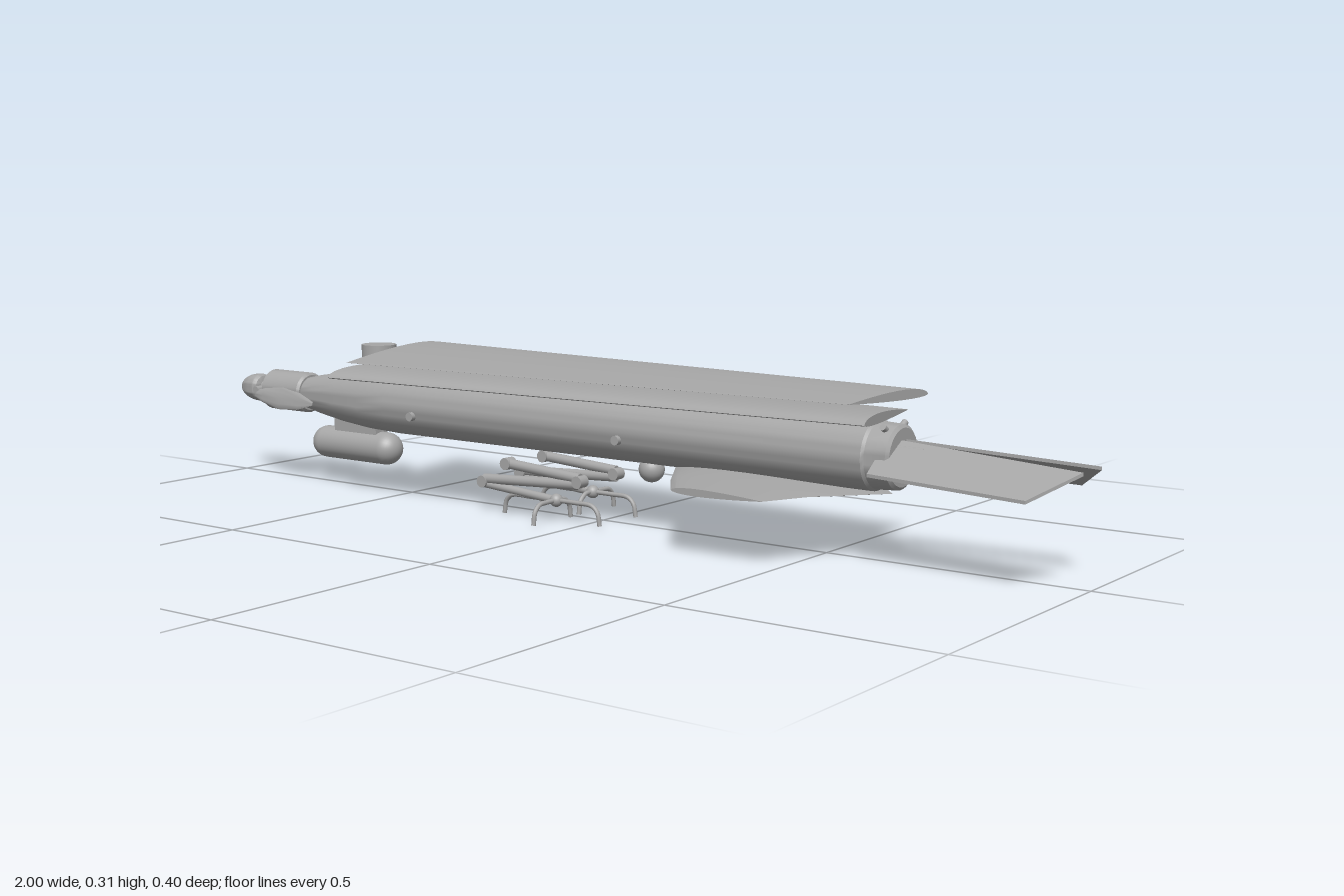
import * as THREE from 'three';
import { toCreasedNormals } from 'three/addons/utils/BufferGeometryUtils.js';

const V = (x, y, z) => new THREE.Vector3(x, y, z);
const AXIS_Y = 0.187;

// Skin closed cross-sections, cap both ends, and keep the faces outward
function loft(sections) {
  const n = sections[0].length, pts = sections.flat(), tris = [];
  for (let s = 0; s < sections.length - 1; s++)
    for (let i = 0; i < n; i++) {
      const a = s * n + i, b = s * n + (i + 1) % n;
      tris.push([a, b, b + n], [a, b + n, a + n]);
    }
  const last = (sections.length - 1) * n;
  for (let i = 1; i < n - 1; i++) tris.push([0, i + 1, i], [last, last + i, last + i + 1]);
  let volume = 0;
  for (const [a, b, c] of tris) volume += pts[a].dot(pts[b].clone().cross(pts[c]));
  const index = tris.flatMap(([a, b, c]) => (volume < 0 ? [a, c, b] : [a, b, c]));
  const g = new THREE.BufferGeometry().setFromPoints(pts);
  g.setIndex(index);
  return toCreasedNormals(g, 0.6);
}

// Airfoil loop from leading edge to trailing edge with given rise and drop
function airfoil(lead, trail, up, down) {
  const n = 14, loop = [];
  const f = u => 2.0 * (1.4845 * Math.sqrt(u) - 0.63 * u - 1.758 * u * u + 1.4215 * u ** 3 - 0.508 * u ** 4);
  for (let k = 0; k < 2 * n; k++) {
    const u = (1 - Math.cos(Math.PI * k / n)) / 2;
    const p = lead.clone().lerp(trail, u);
    p.y += (k <= n ? up : -down) * f(u);
    loop.push(p);
  }
  return loop;
}

export function createModel() {
  const model = new THREE.Group();
  const grey = new THREE.MeshStandardMaterial({ color: 0xa6a6a6 });
  grey.name = 'plain grey';

  function add(name, geometry, x = 0, y = 0, z = 0, parent = model) {
    const mesh = new THREE.Mesh(geometry, grey);
    mesh.name = name;
    mesh.position.set(x, y, z);
    parent.add(mesh);
    return mesh;
  }
  // Body of revolution along x; profile entries are [x, radius] from nose to tail
  function turned(name, profile, y, crease = 0.5) {
    const g = new THREE.LatheGeometry(profile.map(([x, r]) => new THREE.Vector2(r, x)), 40);
    g.rotateZ(-Math.PI / 2);
    return add(name, toCreasedNormals(g, crease), 0, y, 0);
  }
  // Round rod between two points
  function rod(name, a, b, r, parent = model) {
    const m = add(name, new THREE.CylinderGeometry(r, r, a.distanceTo(b), 16), 0, 0, 0, parent);
    m.position.copy(a).lerp(b, 0.5);
    m.quaternion.setFromUnitVectors(V(0, 1, 0), b.clone().sub(a).normalize());
    return m;
  }

  // Fuselage, motor and spinner
  turned('fuselage', [[-0.8, 0], [-0.8, 0.032], [-0.75, 0.042], [-0.68, 0.053], [-0.6, 0.061], [-0.52, 0.064],
    [0.6, 0.064], [0.605, 0.06], [0.645, 0.058], [0.65, 0.052], [0.65, 0]], AXIS_Y);
  turned('motor', [[-0.905, 0], [-0.905, 0.038], [-0.9, 0.043], [-0.795, 0.043], [-0.79, 0.038], [-0.79, 0]], AXIS_Y);
  turned('propellerShaft', [[-0.945, 0], [-0.945, 0.016], [-0.9, 0.016], [-0.9, 0]], AXIS_Y);
  const spinner = [];
  for (let i = 0; i <= 12; i++) {
    const t = i / 12 * Math.PI / 2;
    spinner.push([-0.945 - 0.055 * Math.cos(t), 0.03 * Math.sin(t)]);
  }
  turned('spinner', [...spinner, [-0.937, 0.026], [-0.933, 0.018], [-0.933, 0]], AXIS_Y);

  // Propeller blades folded back beside the motor
  for (const s of [1, -1]) {
    const stations = [[-0.925, 0.035, 0.008, 0.006], [-0.885, 0.05, 0.015, 0.005], [-0.82, 0.064, 0.023, 0.004],
      [-0.75, 0.078, 0.017, 0.003], [-0.7, 0.087, 0.004, 0.001]];
    add('propellerBlade', loft(stations.map(([x, z, h, t]) => {
      const loop = [];
      for (let k = 0; k < 12; k++) {
        const a = k * Math.PI / 6, v = h * Math.cos(a), w = t * Math.sin(a);
        loop.push(V(x, AXIS_Y - 0.004 - s * 0.004 + v, s * z + w - v * 0.3));
      }
      return loop;
    })));
    rod('bladeHinge', V(-0.92, AXIS_Y, 0), V(-0.92, AXIS_Y, s * 0.042), 0.008);
  }

  // Belly pod on its pylon, and the small sensor ball
  const pod = add('bellyPod', new THREE.CapsuleGeometry(0.034, 0.17, 10, 32), -0.655, 0.086, 0);
  pod.rotation.z = Math.PI / 2;
  add('podPylon', new THREE.BoxGeometry(0.12, 0.05, 0.035), -0.645, 0.125, 0);
  add('sensorBall', new THREE.SphereGeometry(0.025, 24, 16), 0.115, 0.112, 0);

  // Wing pivot: turret, collar and spacer discs
  add('pivotTurret', new THREE.CylinderGeometry(0.036, 0.036, 0.07, 32), -0.588, 0.27, 0);
  add('pivotBase', new THREE.BoxGeometry(0.14, 0.03, 0.055), -0.575, 0.24, 0);
  add('pivotSpacer', new THREE.CylinderGeometry(0.042, 0.042, 0.04, 32), -0.5, 0.265, 0);

  // Two long wings stowed one over the other, leading edges on opposite sides
  for (const [name, s, y] of [['upperWing', -1, 0.285], ['lowerWing', 1, 0.254]])
    add(name, loft([
      airfoil(V(-0.56, y, s * 0.18), V(-0.515, y + 0.001, -s * 0.172), 0.02, 0.007),
      airfoil(V(0.635, y, s * 0.112), V(0.6, y + 0.001, -s * 0.105), 0.013, 0.005),
    ]));

  // Stubby stabiliser under the tail
  add('stabiliser', loft([[-0.2, 0.3, 0.49, 0.007], [-0.115, 0.24, 0.53, 0.011], [0, 0.17, 0.63, 0.015],
    [0.115, 0.24, 0.53, 0.011], [0.2, 0.3, 0.49, 0.007]].map(([z, a, b, t]) =>
    airfoil(V(a, 0.121, z), V(b, 0.121, z), t, t * 0.9))));

  // Folded tail fins crossing behind the fuselage, with hinge stems
  for (const s of [1, -1]) {
    const outline = [[0.63, -0.092], [0.93, -0.11], [0.995, -0.037], [0.65, -0.008], [0.62, 0.012]];
    const layer = d => outline.map(([x, z]) => V(x, 0.22 + 0.585 * z + d, s * z));
    add('tailFin', loft([layer(-0.003), layer(0.003)]));
    rod('finStem', V(0.63, 0.212, -s * 0.014), V(0.63, 0.243, s * 0.04), 0.006);
    rod('finHinge', V(0.64, 0.205, s * 0.02), V(0.7, 0.205, s * 0.02), 0.006);
  }

  // Side bolts
  for (const x of [-0.44, 0.08]) for (const s of [1, -1])
    rod('sideBolt', V(x, 0.172, s * 0.055), V(x, 0.172, s * 0.072), 0.009);

  // Folded legs with clawed feet
  for (const s of [1, -1]) {
    const leg = new THREE.Group();
    leg.name = 'leg';
    leg.position.z = s * 0.058;
    model.add(leg);
    const hip = V(-0.19, 0.1, 0), knee = V(-0.012, 0.088, 0), heel = V(-0.25, 0.064, 0), ankle = V(-0.07, 0.04, 0);
    rod('upperLeg', hip, knee, 0.01, leg);
    rod('middleLeg', V(-0.012, 0.076, 0), heel, 0.01, leg);
    rod('lowerLeg', V(-0.25, 0.054, 0), ankle, 0.008, leg);
    for (const p of [hip, V(-0.012, 0.082, 0), V(-0.25, 0.059, 0)])
      rod('legJoint', V(p.x, p.y, -0.012), V(p.x, p.y, 0.012), 0.012, leg);
    add('ankle', new THREE.SphereGeometry(0.013, 20, 14), ankle.x, ankle.y, 0, leg);
    // Toes run out level, then hook down to the ground
    for (const [dx, dz, length] of [[1, 0, 0.105], [-1, 0, 0.13], [0, s, 0.07], [0, -s, 0.045]]) {
      const at = (d, y) => V(ankle.x + dx * d, y, dz * d);
      const path = new THREE.CatmullRomCurve3([at(0, 0.04), at(length * 0.45, 0.04), at(length - 0.018, 0.038),
        at(length - 0.005, 0.026), at(length, 0.001)]);
      add('toe', new THREE.TubeGeometry(path, 20, 0.0045, 10), 0, 0, 0, leg);
    }
  }
  return model;
}
